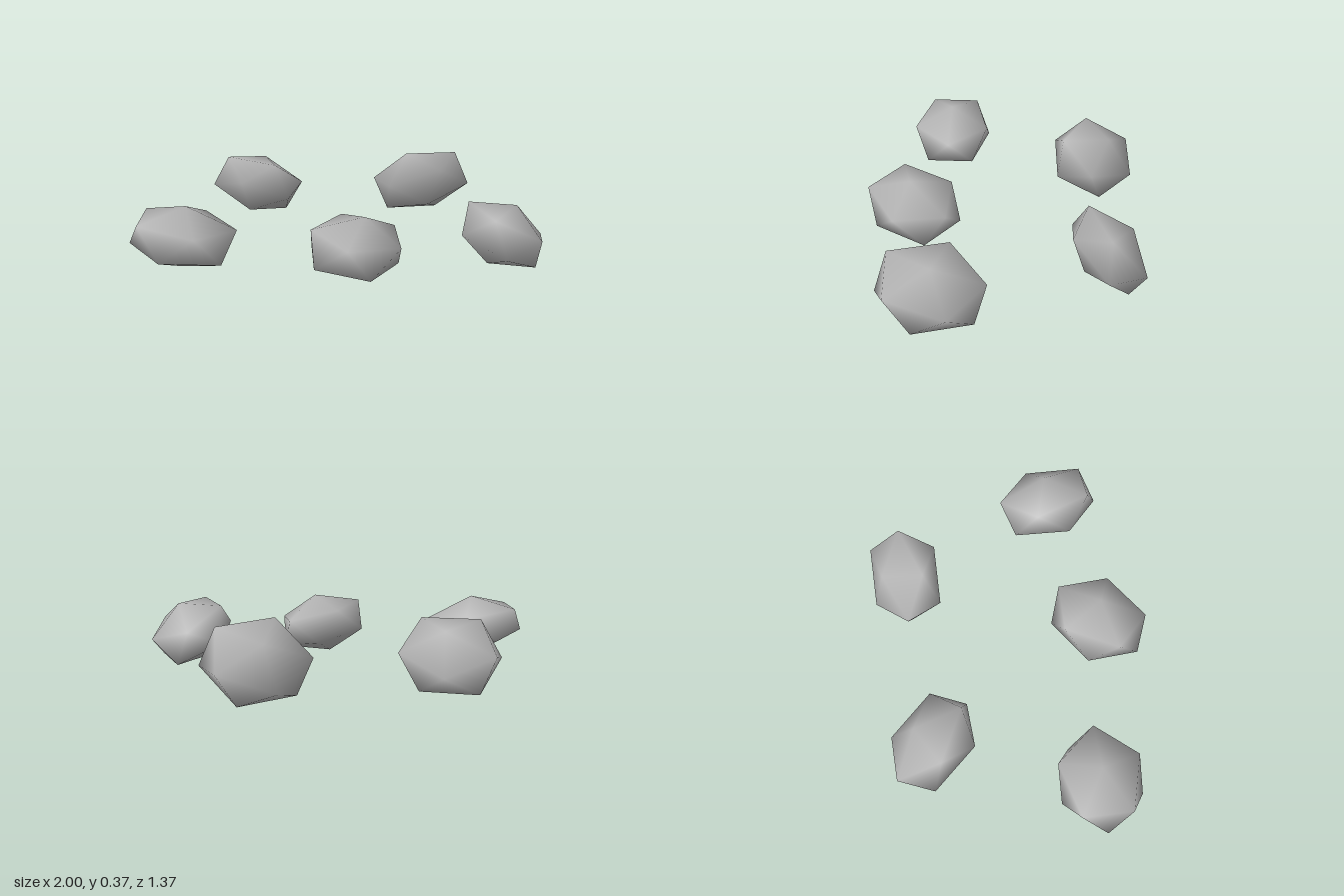
import * as THREE from 'three';
import { mergeVertices } from 'three/addons/utils/BufferGeometryUtils.js';

const PHI = (1 + Math.sqrt(5)) / 2;

// Each rock: its centre, and three neighbouring corners (counter-clockwise,
// relative to the centre) that set its tilt and proportions.
const ROCKS = [
  { name: 'frontRightRock', centre: [-0.74, 0.19, 0.33],
    corners: [[0.02, 0.155, 0], [0.087, 0.059, 0.2], [0.26, 0.035, 0]] },
  { name: 'frontMiddleRock', centre: [0.087, 0.19, 0.443],
    corners: [[0.04, 0.153, 0.01], [-0.033, 0.07, 0.235], [0.21, 0.025, 0.08]] },
  { name: 'frontLeftRock', centre: [0.792, 0.19, 0.276],
    corners: [[0.158, -0.14, 0.075], [0.203, -0.03, -0.09], [0.158, 0.04, 0.19]] },
  { name: 'backRightRock', centre: [-0.455, 0.19, -0.464],
    corners: [[0.111, 0.154, 0.162], [-0.065, 0.066, 0.206], [0.18, -0.026, 0.188]] },
  { name: 'backLeftRock', centre: [0.45, 0.19, -0.523],
    corners: [[-0.09, 0.186, 0.1], [0.093, 0.115, 0.171], [0.184, 0.164, -0.003]] },
];

// Stretch a regular icosahedron so that one of its faces lands on the corners.
function rockGeometry(corners) {
  const [p, q, r] = corners.map((c) => new THREE.Vector3(...c));
  const xAxis = r.clone().sub(p).multiplyScalar(0.5);
  const yAxis = r.clone().add(p).multiplyScalar(0.5 / PHI);
  const zAxis = q.clone().sub(yAxis).divideScalar(PHI);

  const radius = Math.sqrt(1 + PHI * PHI);
  const solid = new THREE.IcosahedronGeometry(radius, 0);
  solid.deleteAttribute('normal');
  solid.deleteAttribute('uv');

  // Shared vertices give smooth shading
  const geometry = mergeVertices(solid, 1e-3);
  geometry.applyMatrix4(new THREE.Matrix4().makeBasis(xAxis, yAxis, zAxis));
  geometry.computeVertexNormals();
  return geometry;
}

export function createModel() {
  const group = new THREE.Group();
  group.name = 'rocks';

  const stone = new THREE.MeshStandardMaterial({ color: 0xb4b4b4 });
  stone.name = 'stone grey';

  for (const { name, centre, corners } of ROCKS) {
    const rock = new THREE.Mesh(rockGeometry(corners), stone);
    rock.name = name;
    rock.position.set(...centre);
    group.add(rock);
  }
  return group;
}
